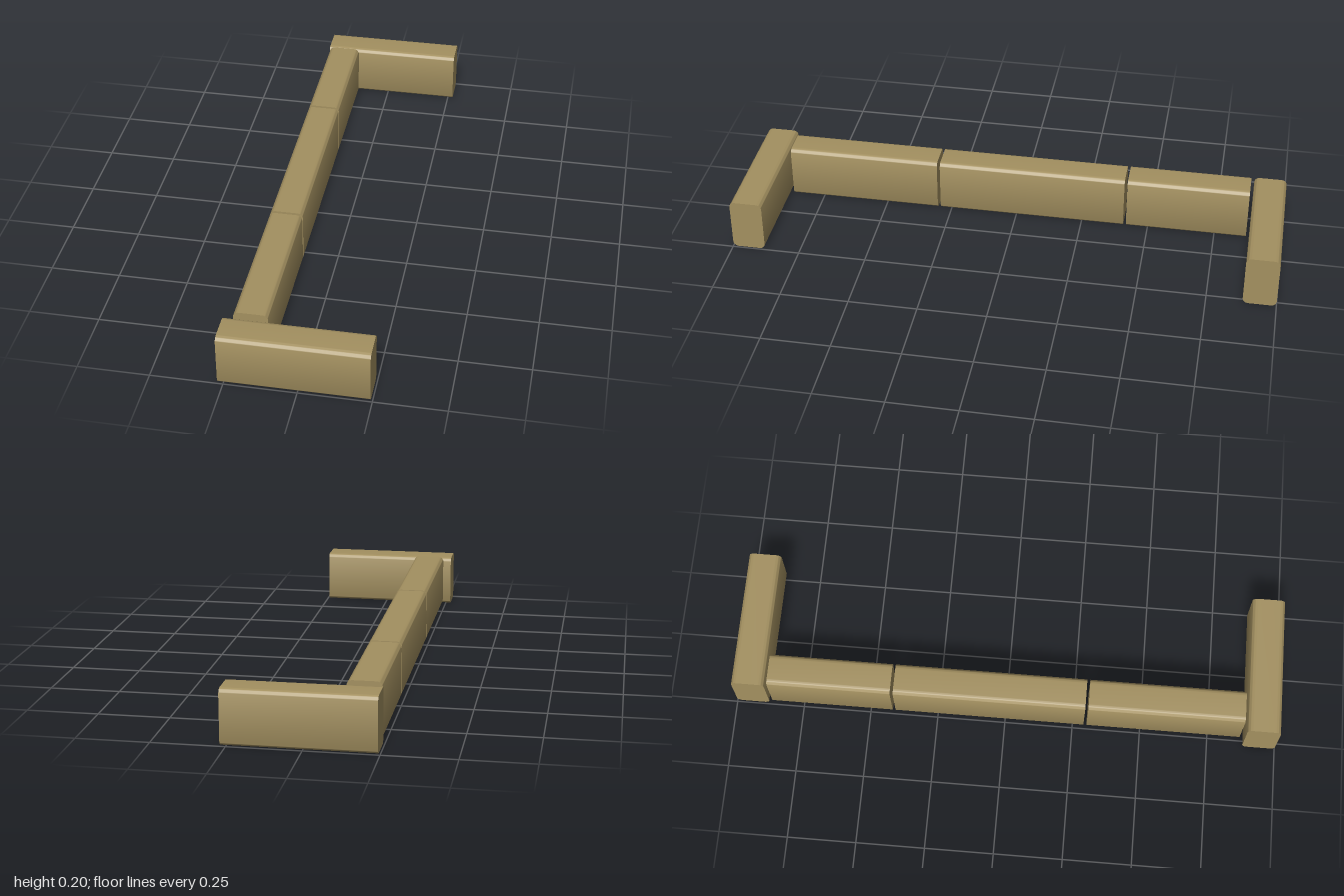
import * as THREE from 'three';
import { toCreasedNormals } from 'three/addons/utils/BufferGeometryUtils.js';

// Rounded-rectangle cross-section, standing on y = 0
function section(width, height, r) {
  const w = width / 2;
  const s = new THREE.Shape();
  s.moveTo(-w + r, 0);
  s.lineTo(w - r, 0);
  s.absarc(w - r, r, r, -Math.PI / 2, 0);
  s.lineTo(w, height - r);
  s.absarc(w - r, height - r, r, 0, Math.PI / 2);
  s.lineTo(-w + r, height);
  s.absarc(-w + r, height - r, r, Math.PI / 2, Math.PI);
  s.lineTo(-w, r);
  s.absarc(-w + r, r, r, Math.PI, Math.PI * 1.5);
  return s;
}

export function createModel() {
  const model = new THREE.Group();
  model.name = 'timberEdging';
  const wood = new THREE.MeshStandardMaterial({ color: 0xa39060 });
  wood.name = 'wood';

  // Beam along z, centred on its length, with long edges rounded and ends cut square
  function beam(name, length, width, height) {
    const geo = new THREE.ExtrudeGeometry(section(width, height, 0.02), {
      depth: length, bevelEnabled: false, curveSegments: 5,
    });
    geo.translate(0, 0, -length / 2);
    const mesh = new THREE.Mesh(toCreasedNormals(geo, 0.6), wood);
    mesh.name = name;
    model.add(mesh);
    return mesh;
  }

  // Row of three beams along the right side, with narrow gaps: [name, z from, z to]
  const row = [
    ['sideBeamFront', 0.302, 0.869],
    ['sideBeamMiddle', -0.408, 0.291],
    ['sideBeamBack', -0.869, -0.419],
  ];
  for (const [name, z0, z1] of row) {
    beam(name, z1 - z0, 0.119, 0.202).position.set(-0.18, 0, (z0 + z1) / 2);
  }

  // Cross beams at both ends, each slightly offset sideways
  const ends = [['endBeamFront', -0.013, 0.94], ['endBeamBack', 0.013, -0.94]];
  for (const [name, x, z] of ends) {
    const b = beam(name, 0.513, 0.12, 0.193);
    b.rotation.y = Math.PI / 2;
    b.position.set(x, 0, z);
  }
  return model;
}
